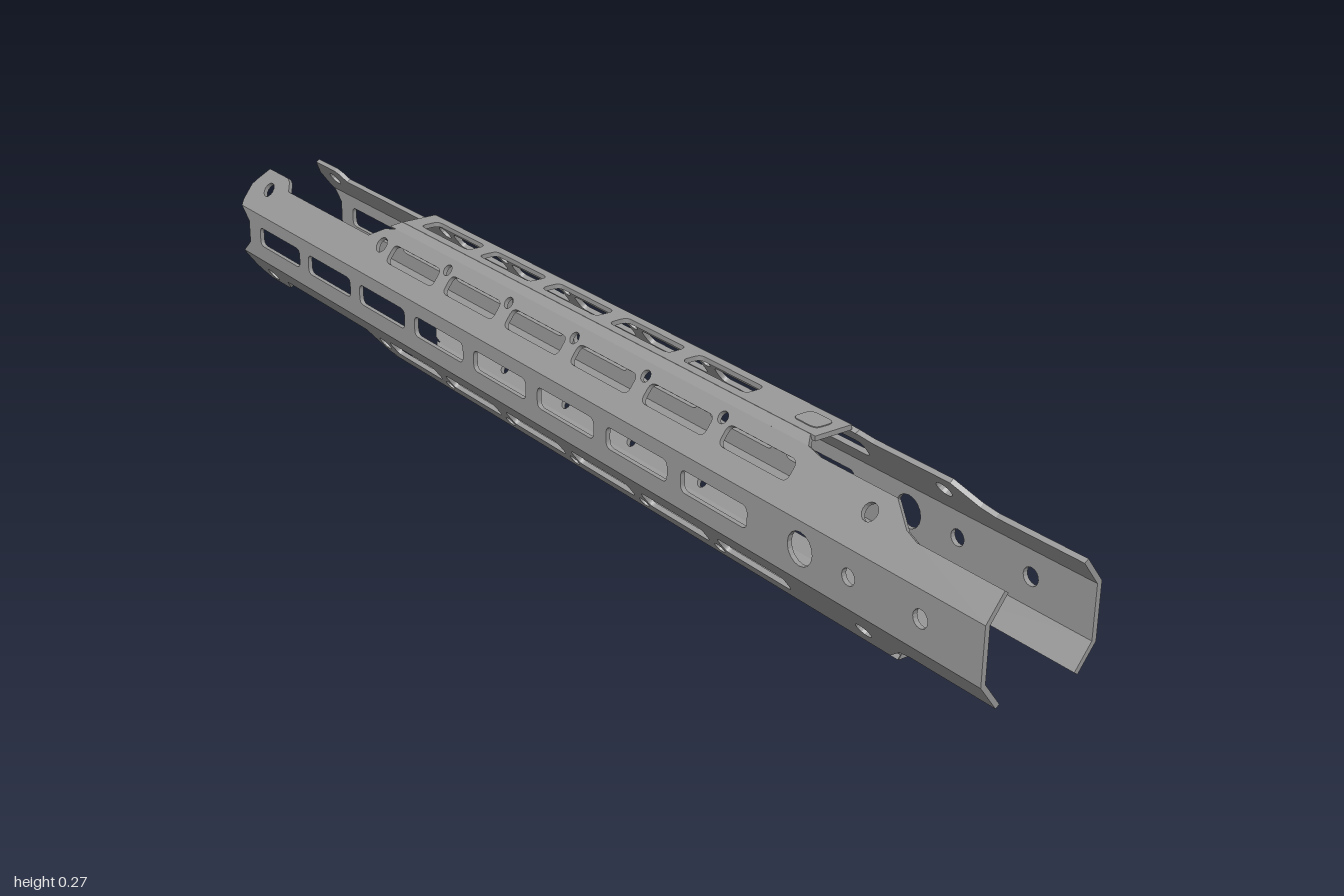
import * as THREE from 'three';

const T = 0.008;          // sheet thickness
const MID = 0.1325;       // height of the tube axis
const PITCH = 0.186;      // slot spacing

// rounded slot and round hole, in panel coordinates (along z, across the panel)
function slot(z, v, len, h, r = 0.012) {
  const p = new THREE.Path(), a = len / 2, b = h / 2;
  p.moveTo(z - a + r, v - b);
  p.lineTo(z + a - r, v - b);
  p.quadraticCurveTo(z + a, v - b, z + a, v - b + r);
  p.lineTo(z + a, v + b - r);
  p.quadraticCurveTo(z + a, v + b, z + a - r, v + b);
  p.lineTo(z - a + r, v + b);
  p.quadraticCurveTo(z - a, v + b, z - a, v + b - r);
  p.lineTo(z - a, v - b + r);
  p.quadraticCurveTo(z - a, v - b, z - a + r, v - b);
  return p;
}
function hole(z, v, r) {
  return new THREE.Path().absarc(z, v, r, 0, Math.PI * 2, true);
}

export function createModel() {
  const group = new THREE.Group();
  const metal = new THREE.MeshStandardMaterial({ color: 0x999999 });
  metal.name = 'grey metal';

  // flat sheet whose outer face runs from a to b in the xy plane
  function panel(name, a, b, outline, holes = []) {
    const shape = new THREE.Shape(outline.map(([z, v]) => new THREE.Vector2(z, v)));
    shape.holes = holes;
    const geo = new THREE.ExtrudeGeometry(shape, { depth: T, bevelEnabled: false, curveSegments: 8 });
    const d = new THREE.Vector3(b[0] - a[0], b[1] - a[1], 0).normalize();
    const n = new THREE.Vector3(-d.y, d.x, 0);
    const inward = n.x * -a[0] + n.y * (MID - a[1]) > 0;
    if (!inward) geo.translate(0, 0, -T);
    geo.applyMatrix4(new THREE.Matrix4()
      .makeBasis(new THREE.Vector3(0, 0, 1), d, n)
      .setPosition(a[0], a[1], 0));
    const mesh = new THREE.Mesh(geo, metal);
    mesh.name = name;
    group.add(mesh);
  }
  const row = (n, first, fn) => Array.from({ length: n }, (_, i) => fn(first - i * PITCH));

  // side walls with a notched rear end
  const sideOutline = [[1, 0], [1, 0.09], [-0.995, 0.09], [-0.968, 0.066], [-0.968, 0.024], [-0.995, 0]];
  // sloped walls, v measured away from the side wall
  const W = 0.0958;
  const slope = (rear, lug, step) => [
    [1, 0], [1, 0.05], [0.84, 0.05], [0.815, 0.058], [0.775, step], [0.62, step], [0.59, W],
    [-0.515, W], [-0.545, W - 0.008], [-0.58, rear], [-0.875, rear], [-0.888, lug - 0.005], [-0.9, lug],
    [-0.97, lug], [-0.99, 0.06], [-1, 0.045], [-1, 0.012], [-0.995, 0],
  ];

  for (const s of [1, -1]) {
    const tag = s > 0 ? 'left' : 'right';
    panel(tag + 'SideWall', [s * 0.104, 0.0875], [s * 0.104, 0.1775], sideOutline, [
      ...row(8, 0.454, z => slot(z, 0.0475, 0.153, 0.036)),
      hole(0.645, 0.0475, 0.026), hole(0.745, 0.0475, 0.013), hole(0.885, 0.0475, 0.014),
    ]);

    for (const top of [true, false]) {
      const y = h => top ? h : 2 * MID - h;
      const part = top ? 'Upper' : 'Lower';
      panel(tag + part + 'Slope', [s * 0.104, y(0.1775)], [s * 0.047, y(0.2545)],
        top ? slope(0.064, 0.086, 0.09) : slope(0.044, 0.072, W), [
          ...row(6, 0.51, z => slot(z, 0.054, 0.152, 0.034)),
          ...row(5, 0.417, z => hole(z, 0.075, 0.01)),
          hole(0.745, 0.056, 0.014), hole(-0.53, 0.06, 0.014), hole(-0.937, 0.05, 0.014),
        ]);
      // bend between slope and flat
      const end = top ? 0.59 : 0.79, w = 0.0167;
      panel(tag + part + 'Bend', [s * 0.047, y(0.2545)], [s * 0.0336, y(0.2645)],
        [[end, 0], [end - 0.012, w], [-0.517, w], [-0.535, 0]]);
    }
  }

  // top and bottom flats
  const flat = (front) => [[front, 0], [front, 0.0672], [-0.515, 0.0672], [-0.515, 0]];
  const flatSlots = (n, first) => row(n, first, z => slot(z, 0.0336, 0.152, 0.036));
  panel('topFlat', [0.0336, 0.265], [-0.0336, 0.265], flat(0.588), flatSlots(5, 0.34));
  panel('bottomFlat', [0.0336, 0], [-0.0336, 0], flat(0.778),
    [...flatSlots(6, 0.526), slot(0.69, 0.0336, 0.092, 0.036)]);

  // small raised pad on the top flat
  const pad = new THREE.Mesh(new THREE.ExtrudeGeometry(
    new THREE.Shape(slot(0, 0, 0.05, 0.036).getPoints(6)), { depth: 0.002, bevelEnabled: false }), metal);
  pad.rotation.set(-Math.PI / 2, 0, Math.PI / 2);
  pad.position.set(0, 0.2645, 0.545);
  pad.name = 'topPad';
  group.add(pad);

  return group;
}
